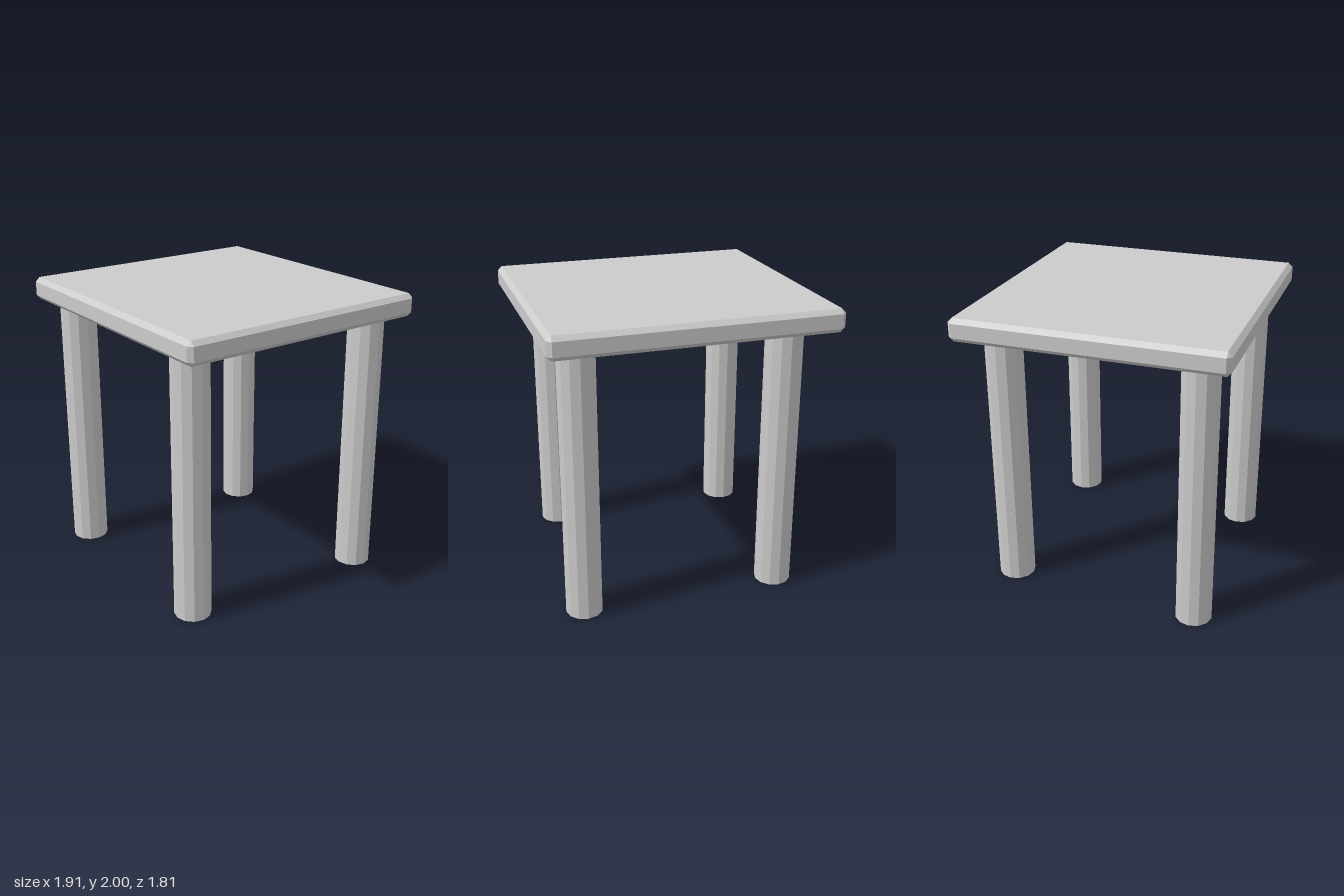
import * as THREE from 'three';
import { ConvexGeometry } from 'three/addons/geometries/ConvexGeometry.js';

const TOP = 2, THICK = 0.155, LEG_H = TOP - THICK, LEG_R = 0.125;

// Box with every edge cut at 45 degrees, leaving small triangles at the corners
function chamferedBox(w, h, d, c) {
  const points = [];
  for (const sx of [-1, 1]) for (const sy of [-1, 1]) for (const sz of [-1, 1]) {
    const x = w / 2, y = h / 2, z = d / 2;
    points.push(
      new THREE.Vector3(sx * x, sy * (y - c), sz * (z - c)),
      new THREE.Vector3(sx * (x - c), sy * y, sz * (z - c)),
      new THREE.Vector3(sx * (x - c), sy * (y - c), sz * z));
  }
  return new ConvexGeometry(points);
}

export function createModel() {
  const group = new THREE.Group();
  group.name = 'table';
  const material = new THREE.MeshStandardMaterial({ color: 0xcccccc, flatShading: true });

  // Bevelled slab
  const top = new THREE.Mesh(chamferedBox(1.906, THICK, 1.806, 0.03), material);
  top.name = 'tableTop';
  top.position.y = TOP - THICK / 2;
  group.add(top);

  // Twelve-sided legs, front and back pairs offset sideways from each other
  const legGeometry = new THREE.CylinderGeometry(LEG_R, LEG_R, LEG_H, 12);
  const legs = [
    ['frontRightLeg', -0.743, 0.678],
    ['frontLeftLeg', 0.629, 0.678],
    ['backRightLeg', -0.631, -0.676],
    ['backLeftLeg', 0.739, -0.676],
  ];
  for (const [name, x, z] of legs) {
    const leg = new THREE.Mesh(legGeometry, material);
    leg.name = name;
    leg.position.set(x, LEG_H / 2, z);
    group.add(leg);
  }
  return group;
}
